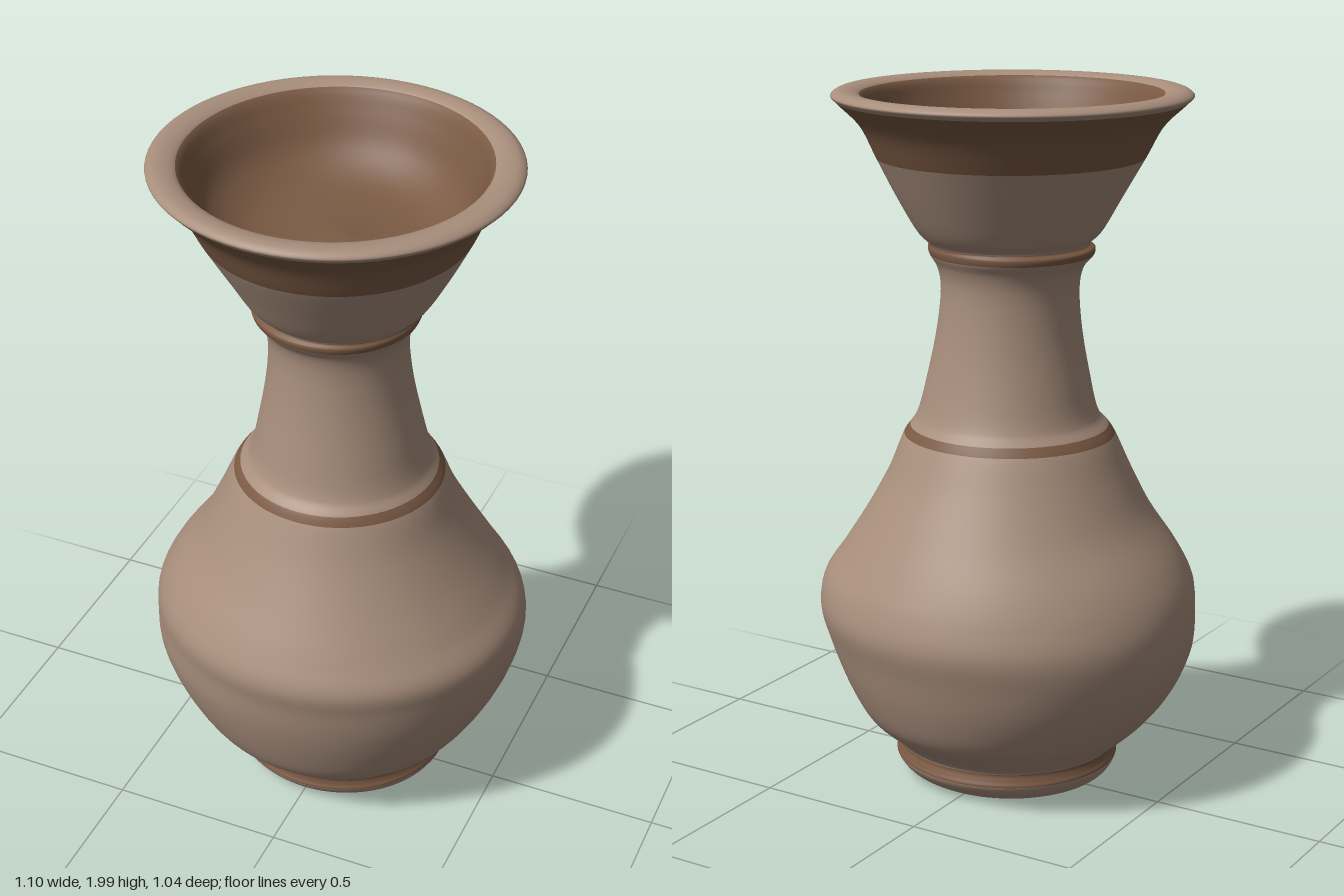
import * as THREE from 'three';

// Cross-sections from the underside, up the outside, over the rim and into the mouth.
// Each row: height, then reach towards -x, +x, +z (front), -z (back).
const foot = [
  [0.01, 0, 0, 0, 0],
  [0.005, 0.14, 0.14, 0.14, 0.14],
  [0.005, 0.25, 0.26, 0.25, 0.24],
  [0.025, 0.295, 0.31, 0.29, 0.28],
  [0.065, 0.318, 0.333, 0.32, 0.31],
];
const footBand = [
  [0.08, 0.312, 0.328, 0.315, 0.305],
  [0.1, 0.31, 0.325, 0.315, 0.3],
];
const belly = [
  [0.13, 0.345, 0.355, 0.345, 0.325],
  [0.2, 0.42, 0.415, 0.415, 0.41],
  [0.3, 0.495, 0.475, 0.46, 0.46],
  [0.42, 0.545, 0.525, 0.495, 0.497],
  [0.52, 0.55, 0.547, 0.51, 0.522],
  [0.6, 0.535, 0.54, 0.52, 0.505],
  [0.68, 0.495, 0.485, 0.485, 0.47],
  [0.8, 0.41, 0.405, 0.415, 0.405],
  [0.92, 0.35, 0.34, 0.35, 0.34],
  [1.025, 0.302, 0.298, 0.302, 0.29],
];
const shoulderBand = [[1.05, 0.283, 0.28, 0.288, 0.275]];
const neck = [
  [1.08, 0.258, 0.26, 0.262, 0.255],
  [1.2, 0.228, 0.228, 0.232, 0.222],
  [1.35, 0.203, 0.197, 0.207, 0.198],
  [1.46, 0.2, 0.188, 0.2, 0.193],
  [1.51, 0.215, 0.2, 0.21, 0.205],
  [1.54, 0.24, 0.22, 0.232, 0.222],
];
const neckBand = [
  [1.558, 0.243, 0.225, 0.235, 0.225],
  [1.57, 0.227, 0.222, 0.225, 0.22],
];
const flare = [
  [1.6, 0.257, 0.25, 0.258, 0.25],
  [1.7, 0.315, 0.308, 0.32, 0.31],
  [1.81, 0.378, 0.363, 0.382, 0.37],
];
const mouthBand = [
  [1.9, 0.43, 0.405, 0.425, 0.42],
  [1.965, 0.5, 0.468, 0.48, 0.485],
];
const rim = [
  [1.98, 0.514, 0.48, 0.49, 0.498],
  [1.995, 0.49, 0.458, 0.47, 0.475],
  [1.985, 0.434, 0.396, 0.416, 0.43],
];
const interior = [
  [1.93, 0.4, 0.37, 0.385, 0.395],
  [1.84, 0.35, 0.33, 0.34, 0.345],
  [1.78, 0.26, 0.25, 0.25, 0.26],
  [1.765, 0.13, 0.13, 0.13, 0.13],
  [1.775, 0, 0, 0, 0],
];

const SIDES = 72; // columns around
const STEPS = 5; // rings between neighbouring cross-sections

export function createModel() {
  const clay = new THREE.MeshStandardMaterial({ color: 0xa88e7c });
  clay.name = 'light clay';
  const glaze = new THREE.MeshStandardMaterial({ color: 0x7b5a44 });
  glaze.name = 'brown glaze';

  const parts = [
    ['foot', foot, clay],
    ['footBand', footBand, glaze],
    ['belly', belly, clay],
    ['shoulderBand', shoulderBand, glaze],
    ['neck', neck, clay],
    ['neckBand', neckBand, glaze],
    ['flare', flare, clay],
    ['mouthBand', mouthBand, glaze],
    ['rim', rim, clay],
    ['interior', interior, glaze],
  ];
  const rows = parts.flatMap((p) => p[1]);
  const rings = (rows.length - 1) * STEPS + 1;

  // One smooth curve up each column of the whole vase
  const positions = [];
  for (let s = 0; s < SIDES; s++) {
    const a = (s / SIDES) * Math.PI * 2;
    const points = rows.map(([y, l, r, f, b]) => new THREE.Vector3(
      (r - l) / 2 + Math.sin(a) * (r + l) / 2,
      y,
      (f - b) / 2 + Math.cos(a) * (f + b) / 2,
    ));
    const curve = new THREE.CatmullRomCurve3(points, false, 'centripetal');
    for (let k = 0; k < rings; k++) {
      const p = curve.getPoint(k / (rings - 1));
      positions.push(p.x, p.y, p.z);
    }
  }

  // Triangles of the rings from k0 to k1
  const bandIndex = (k0, k1) => {
    const index = [];
    for (let s = 0; s < SIDES; s++) {
      const c = s * rings;
      const d = ((s + 1) % SIDES) * rings;
      for (let k = k0; k < k1; k++) {
        if (k > 0) index.push(c + k, d + k, d + k + 1);
        if (k < rings - 1) index.push(c + k, d + k + 1, c + k + 1);
      }
    }
    return index;
  };

  // Normals are shared by the whole surface so the parts join smoothly
  const whole = new THREE.BufferGeometry();
  whole.setAttribute('position', new THREE.Float32BufferAttribute(positions, 3));
  whole.setIndex(bandIndex(0, rings - 1));
  whole.computeVertexNormals();
  const normal = whole.attributes.normal;
  for (let s = 0; s < SIDES; s++) {
    normal.setXYZ(s * rings, 0, -1, 0);
    normal.setXYZ(s * rings + rings - 1, 0, 1, 0);
  }

  // Cut the surface into its coloured parts
  const vase = new THREE.Group();
  vase.name = 'vase';
  let start = 0;
  let count = 0;
  for (const [name, section, material] of parts) {
    count += section.length;
    const end = (count - 1) * STEPS;
    const piece = whole.clone();
    piece.setIndex(bandIndex(start, end));
    const mesh = new THREE.Mesh(piece.toNonIndexed(), material);
    mesh.name = name;
    vase.add(mesh);
    start = end;
  }
  return vase;
}
